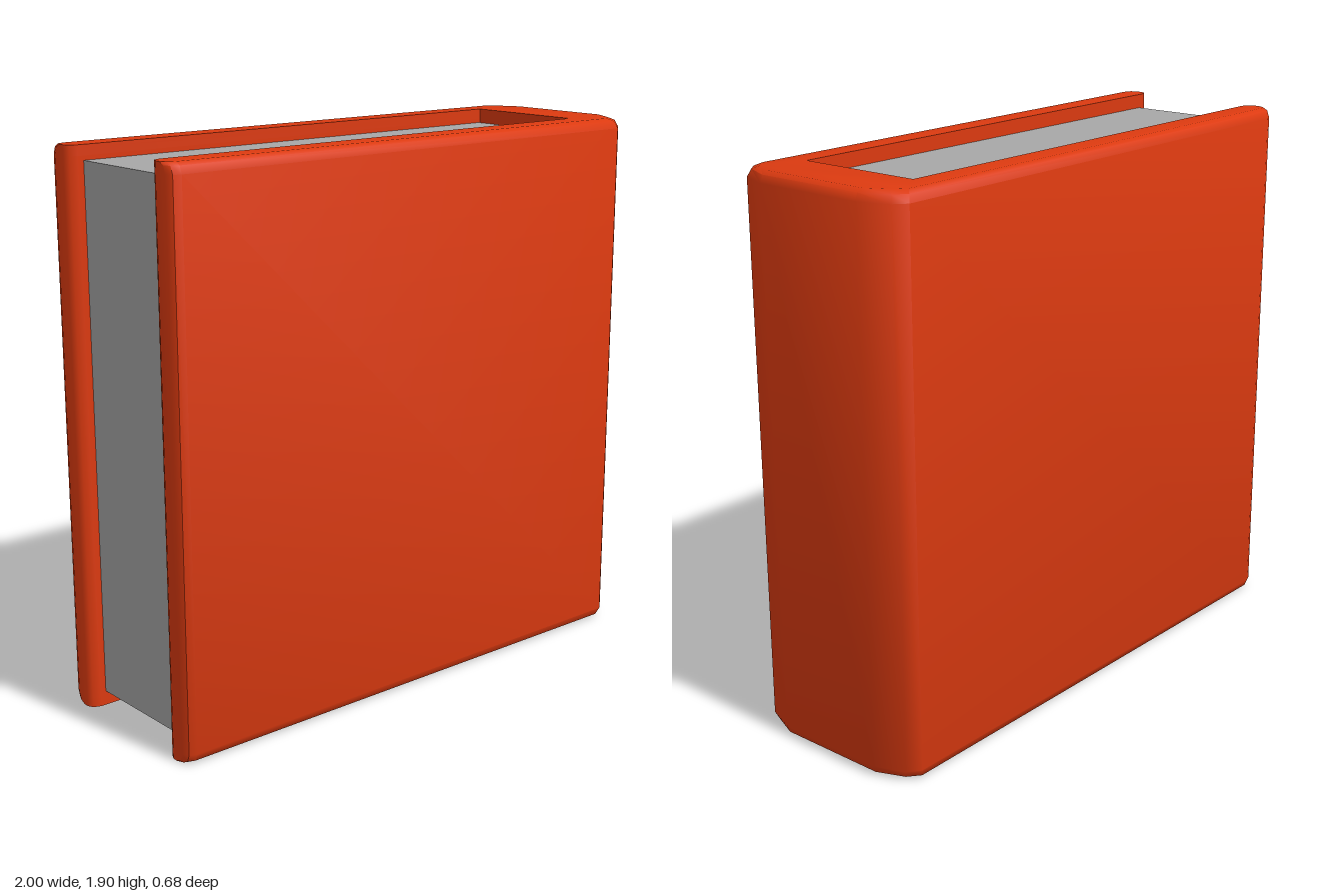
import * as THREE from 'three';
import { toCreasedNormals } from 'three/addons/utils/BufferGeometryUtils.js';

const coverRed = new THREE.MeshStandardMaterial({ color: 0xdc3a10 });
coverRed.name = 'coverRed';
const pageGrey = new THREE.MeshStandardMaterial({ color: 0xa8a8a8 });
pageGrey.name = 'pageGrey';

// U-shaped cover: half outline from the spine to the inner corner, mirrored in z
function makeCover() {
  const half = [
    [1, 0.2], [0.96, 0.305], [0.92, 0.338], [-0.965, 0.338], [-0.99, 0.328], [-1, 0.305],
    [-1, 0.255], [-0.99, 0.235], [-0.965, 0.225], [0.785, 0.225],
  ];
  const outline = [...half, ...half.map(([x, z]) => [x, -z]).reverse()];
  const shape = new THREE.Shape(outline.map(([x, z]) => new THREE.Vector2(x, z)));
  const geo = new THREE.ExtrudeGeometry(shape, { depth: 1, steps: 5, bevelEnabled: false });
  geo.rotateX(-Math.PI / 2);

  // Rounded top and bottom rims: each layer gets a height and an outer inset
  const heights = [0, 0.01, 0.035, 1.865, 1.89, 1.9];
  const insets = [0.03, 0.01, 0, 0, 0.01, 0.03];
  const p = geo.attributes.position;
  for (let i = 0; i < p.count; i++) {
    const layer = Math.round(p.getY(i) * 5);
    const x = p.getX(i), z = p.getZ(i);
    if (Math.abs(z) > 0.27) p.setZ(i, z - Math.sign(z) * insets[layer]);
    if (x > 0.85) p.setX(i, x - insets[layer]);
    p.setY(i, heights[layer]);
  }
  return toCreasedNormals(geo, 0.75);
}

export function createModel() {
  const book = new THREE.Group();
  book.name = 'book';

  const cover = new THREE.Mesh(makeCover(), coverRed);
  cover.name = 'cover';

  // Page block, set in from the cover on its three open sides
  const pages = new THREE.Mesh(new THREE.BoxGeometry(1.725, 1.8, 0.45), pageGrey);
  pages.position.set(-0.0825, 0.95, 0);
  pages.name = 'pages';

  book.add(cover, pages);
  return book;
}
